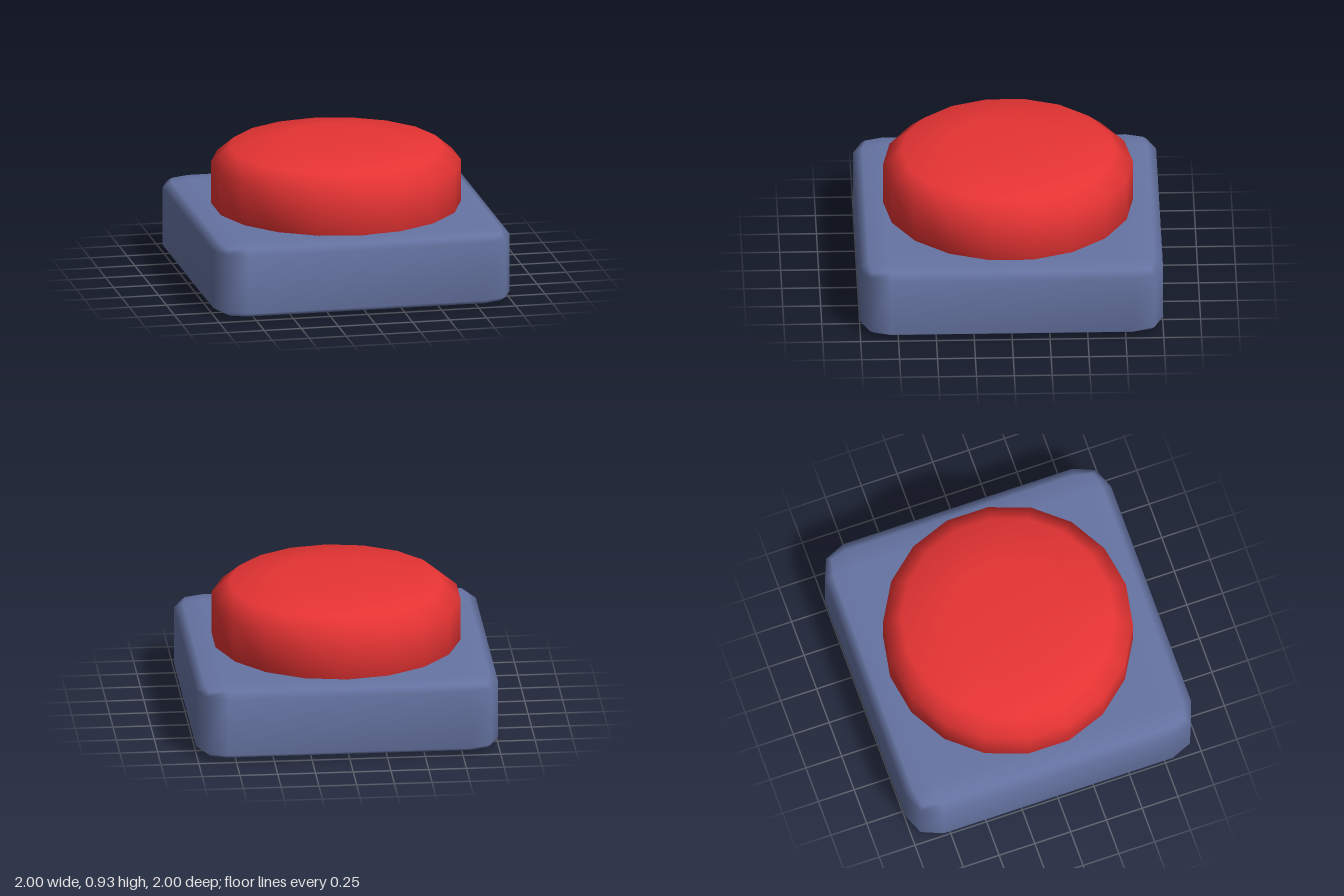
import * as THREE from 'three';
import { mergeVertices } from 'three/addons/utils/BufferGeometryUtils.js';
import { RoundedBoxGeometry } from 'three/addons/geometries/RoundedBoxGeometry.js';

// Weld all corners so that shading runs smoothly over every edge
function smooth(geometry) {
  geometry.deleteAttribute('normal');
  geometry.deleteAttribute('uv');
  const welded = mergeVertices(geometry, 1e-4);
  welded.computeVertexNormals();
  return welded;
}

function part(name, geometry, color) {
  const mesh = new THREE.Mesh(smooth(geometry), new THREE.MeshStandardMaterial({ color }));
  mesh.name = name;
  return mesh;
}

export function createModel() {
  const group = new THREE.Group();
  group.name = 'pushButton';

  // Base plate: a bevelled cube flattened to its height
  const height = 0.49;
  const box = new RoundedBoxGeometry(2, 2, 2, 1, 0.2);
  box.scale(1, height / 2, 1);
  box.translate(0, height / 2, 0);
  group.add(part('base', box, 0x6674a3));

  // Button cap: bevelled disc, its lower bevel sunk into the base
  const middle = 0.642;
  const upper = [[0.824, 0.143], [0.705, 0.243], [0.405, 0.283], [0, 0.283]];
  const lower = upper.map(([r, y]) => [r, -y]).reverse();
  const profile = [...lower, ...upper].map(([r, y]) => new THREE.Vector2(r, middle + y));
  group.add(part('button', new THREE.LatheGeometry(profile, 18), 0xe83434));

  return group;
}
